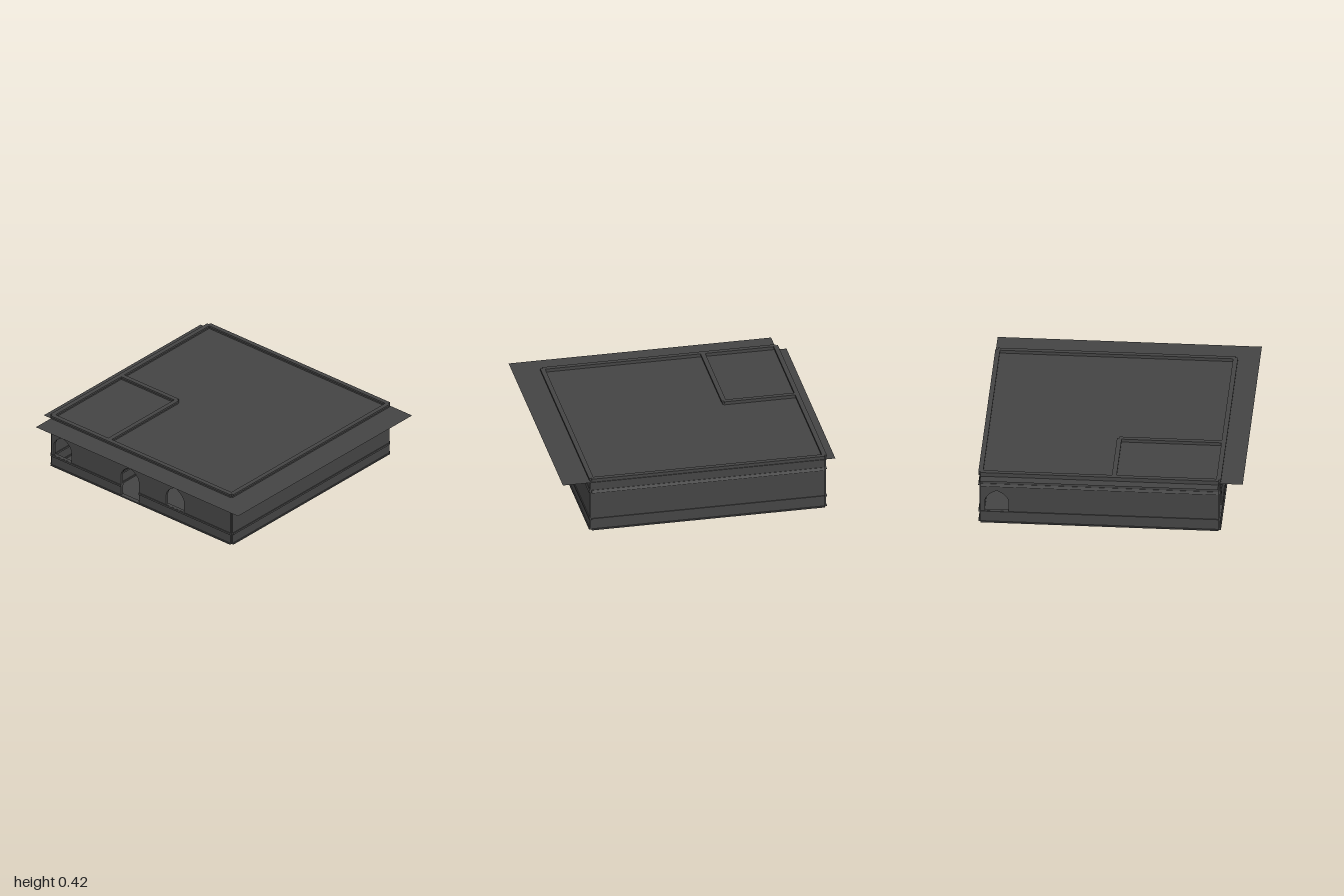
import * as THREE from 'three';

const material = new THREE.MeshStandardMaterial({ color: 0x444444, side: THREE.DoubleSide, flatShading: true });
const WALL_HEIGHT = 0.416, WALL_THICKNESS = 0.02, LIFT = 0.002;

// Trim bands running along every wall: bottom and top heights, thickness at each
const bands = {
  baseTrim: [0, 0.01, 0.034, 0.034],
  sillTrim: [0.08, 0.094, 0.034, 0.034],
  stringCourse: [0.301, 0.323, 0.038, 0.026],
  parapetCap: [0.402, WALL_HEIGHT, 0.034, 0.034],
};

function addMesh(parent, name, geometry, x = 0, y = 0, z = 0) {
  const mesh = new THREE.Mesh(geometry, material);
  mesh.name = name;
  mesh.position.set(x, y, z);
  parent.add(mesh);
  return mesh;
}

// Pointed arch opening between u0 and u1, rising from the given sill
function archPath({ u0, u1, sill }) {
  const mid = (u0 + u1) / 2, spring = 0.178, apex = 0.266;
  const path = new THREE.Path();
  path.moveTo(u0, sill);
  path.lineTo(u1, sill);
  path.lineTo(u1, spring);
  path.quadraticCurveTo(u1 - 0.005, 0.23, mid, apex);
  path.quadraticCurveTo(u0 + 0.005, 0.23, u0, spring);
  path.lineTo(u0, sill);
  return path;
}

// Straight band whose thickness changes from bottom to top
function bandGeometry(length, height, bottom, top) {
  const geometry = new THREE.BoxGeometry(length, height, 1);
  const position = geometry.attributes.position;
  for (let i = 0; i < position.count; i++) {
    position.setZ(i, position.getZ(i) * (position.getY(i) > 0 ? top : bottom));
  }
  geometry.computeVertexNormals();
  return geometry;
}

// Wall along its local x axis, starting at (x, z) and turned about y
function createWall(name, x, z, length, turn, openings = []) {
  const wall = new THREE.Group();
  wall.name = name;
  wall.position.set(x, LIFT, z);
  wall.rotation.y = turn;

  const shape = new THREE.Shape();
  shape.moveTo(0, 0);
  shape.lineTo(length, 0);
  shape.lineTo(length, WALL_HEIGHT - 0.004);
  shape.lineTo(0, WALL_HEIGHT - 0.004);
  shape.closePath();
  openings.forEach((o) => shape.holes.push(archPath(o)));
  const panel = new THREE.ExtrudeGeometry(shape, { depth: WALL_THICKNESS, bevelEnabled: false, curveSegments: 6 });
  addMesh(wall, 'wallPanel', panel, 0, 0, -WALL_THICKNESS / 2);

  // Bands stop on either side of any opening they would cross
  for (const [bandName, [low, high, bottom, top]] of Object.entries(bands)) {
    const cuts = openings.filter((o) => o.sill < low && low < 0.26);
    let start = 0;
    for (const cut of [...cuts, { u0: length, u1: length }]) {
      const run = cut.u0 - start;
      addMesh(wall, bandName, bandGeometry(run, high - low, bottom, top), start + run / 2, (low + high) / 2, 0);
      start = cut.u1;
    }
  }
  return wall;
}

// Thin horizontal sheet between two corners
function addSheet(parent, name, x0, x1, z0, z1, y) {
  const geometry = new THREE.PlaneGeometry(x1 - x0, z1 - z0).rotateX(-Math.PI / 2);
  return addMesh(parent, name, geometry, (x0 + x1) / 2, y, (z0 + z1) / 2);
}

export function createModel() {
  const model = new THREE.Group();
  model.name = 'flatRoofedBuilding';

  // Wall centre lines
  const left = -0.92, right = 0.788, front = 0.776, back = -0.934;
  const roomX = -0.384, roomZ = 0.025;
  const width = right - left, depth = front - back;
  const opening = (u, sill) => ({ u0: u, u1: u + 0.17, sill });
  const quarter = -Math.PI / 2;

  // Outer walls: two windows and a door in front, one window at the side
  model.add(
    createWall('frontWall', left, front, width, 0, [
      opening(-0.896 - left, 0.095),
      opening(-0.256 - left, 0.01),
      opening(0.174 - left, 0.095),
    ]),
    createWall('backWall', left, back, width, 0),
    createWall('westWall', left, back, depth, quarter, [opening(0.03, 0.095)]),
    createWall('eastWall', right, back, depth, quarter),
  );

  // Partitions around the corner room
  model.add(
    createWall('roomBackPartition', left, roomZ, roomX - left, 0),
    createWall('roomSidePartition', roomX, roomZ, front - roomZ, quarter),
  );

  // Floor, roof sheet with wide eaves, and the lower sheet under it
  addSheet(model, 'floor', left, right, back, front, 0);
  addSheet(model, 'roof', -0.924, 1, -0.95, 0.95, 0.39);
  addSheet(model, 'ceiling', -1, right, back, front, 0.383);

  return model;
}
